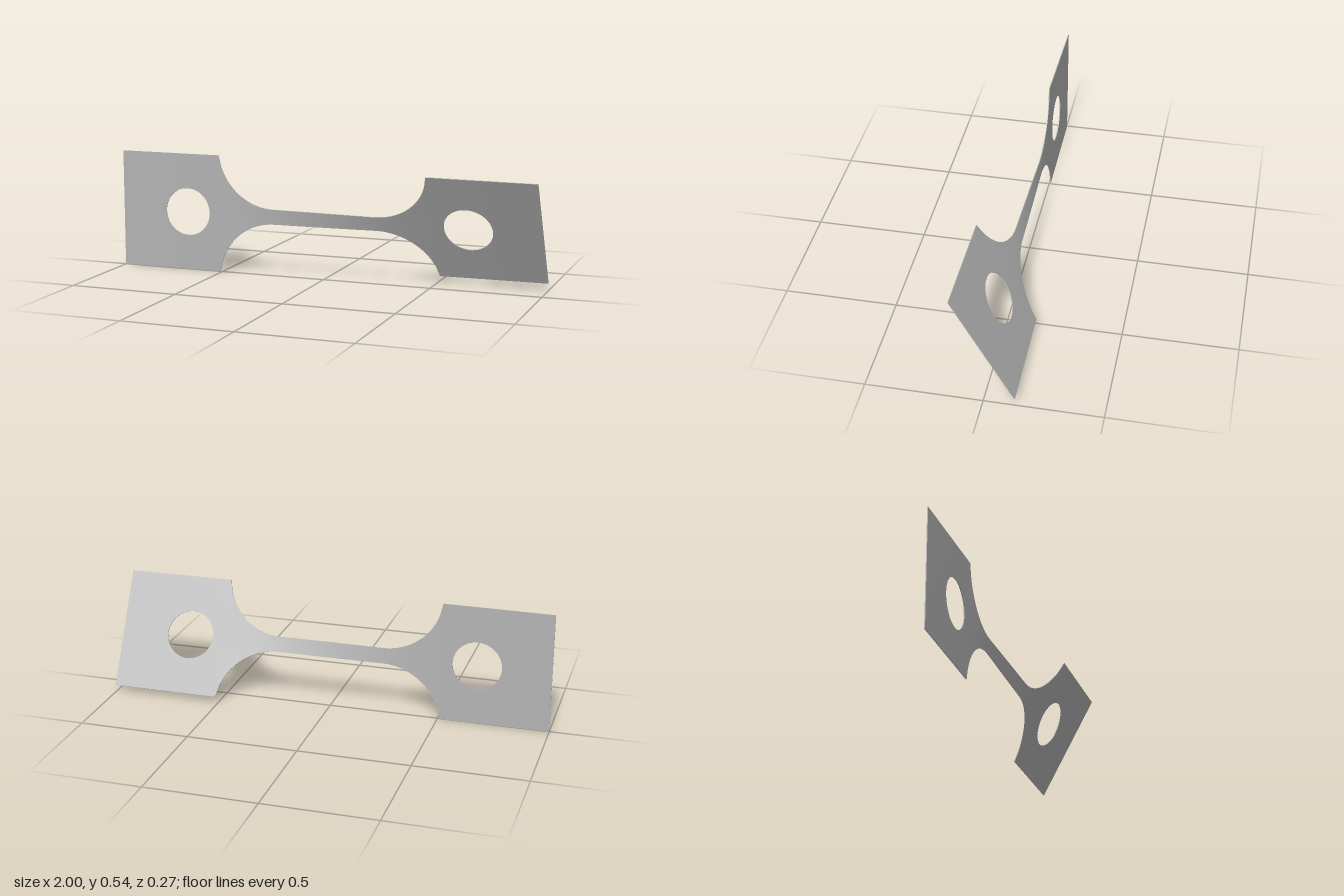
import * as THREE from 'three';
import { mergeGeometries } from 'three/addons/utils/BufferGeometryUtils.js';

const LENGTH = 1, TAB = 0.51, HALF_TAB = 0.2715, HALF_NECK = 0.035;
const FILLET = 0.27, FILLET_X = 0.242, HOLE_X = 0.67, HOLE_R = 0.11;
const HALF_THICK = 0.002, TWIST = THREE.MathUtils.degToRad(28.8);

// Half width of the flat strip at x: neck, round fillet, tab
function halfWidth(x) {
  const a = Math.abs(x);
  if (a >= TAB) return HALF_TAB;
  if (a <= FILLET_X) return HALF_NECK;
  const d = a - FILLET_X;
  return Math.min(HALF_TAB, HALF_NECK + FILLET - Math.sqrt(FILLET * FILLET - d * d));
}

// Half opening of the round hole at x
function halfHole(x) {
  const d = Math.abs(x) - HOLE_X;
  return Math.sqrt(Math.max(0, HOLE_R * HOLE_R - d * d));
}

// Twist angle along x: narrow sections twist most
const STEPS = 800;
const twist = [0];
for (let i = 0; i < STEPS; i++) {
  const x = -1 + (2 * (i + 0.5)) / STEPS;
  twist.push(twist[i] + (Math.abs(x) > TAB ? 0.5 : 1) / halfWidth(x));
}
function angleAt(x) {
  const f = ((x + 1) / 2) * STEPS;
  const i = Math.min(STEPS - 1, Math.max(0, Math.floor(f)));
  return (TWIST * THREE.MathUtils.lerp(twist[i], twist[i + 1], f - i)) / twist[STEPS];
}

// Grid of points from at(u, v) -> [x, y, z] on the flat strip, then twisted
function patch(us, nv, at, flip) {
  const pos = [], index = [];
  for (const u of us) {
    for (let j = 0; j <= nv; j++) {
      const [x, y, z] = at(u, j / nv);
      const c = Math.cos(angleAt(x)), s = Math.sin(angleAt(x));
      pos.push(x, HALF_TAB + y * c - z * s, y * s + z * c);
    }
  }
  for (let i = 0; i < us.length - 1; i++) {
    for (let j = 0; j < nv; j++) {
      const a = i * (nv + 1) + j, b = a + nv + 1;
      if (flip) index.push(a, b + 1, b, a, a + 1, b + 1);
      else index.push(a, b, b + 1, a, b + 1, a + 1);
    }
  }
  const g = new THREE.BufferGeometry();
  g.setAttribute('position', new THREE.Float32BufferAttribute(pos, 3));
  g.setIndex(index);
  g.computeVertexNormals();
  return g;
}

const range = (a, b, n) => Array.from({ length: n + 1 }, (_, i) => a + ((b - a) * i) / n);

// Faces and edges of one stretch of the strip, upper and lower half
function stripParts(xs, hole) {
  const t = HALF_THICK, parts = [];
  const inner = (x) => (hole ? halfHole(x) : 0);
  for (const s of [1, -1]) {
    const y = (x, v) => s * THREE.MathUtils.lerp(inner(x), halfWidth(x), v);
    parts.push(
      patch(xs, 6, (x, v) => [x, y(x, v), t], s < 0),
      patch(xs, 6, (x, v) => [x, y(x, v), -t], s > 0),
      patch(xs, 1, (x, v) => [x, s * halfWidth(x), t - 2 * t * v], s < 0),
    );
    if (hole) {
      const bore = xs.filter((x) => Math.abs(Math.abs(x) - HOLE_X) <= HOLE_R + 1e-6);
      parts.push(patch(bore, 1, (x, v) => [x, s * halfHole(x), t - 2 * t * v], s > 0));
    }
  }
  return parts;
}

// Tab with hole; side is +1 for left, -1 for right
function tabGeometry(side) {
  const xs = [
    ...range(TAB, HOLE_X - HOLE_R, 4).slice(0, -1),
    ...range(Math.PI, 0, 32).map((a) => HOLE_X + HOLE_R * Math.cos(a)),
    ...range(HOLE_X + HOLE_R, LENGTH, 8).slice(1),
  ].map((x) => x * side).sort((a, b) => a - b);
  const end = patch(range(-HALF_TAB, HALF_TAB, 8), 1,
    (y, v) => [side * LENGTH, y, HALF_THICK * (2 * v - 1)], side < 0);
  return mergeGeometries([...stripParts(xs, true), end]);
}

export function createModel() {
  const group = new THREE.Group();
  group.name = 'twistedTestStrip';
  const steel = new THREE.MeshStandardMaterial({ color: 0xb3b3b3 });
  steel.name = 'plainSteel';

  const add = (name, geometry) => {
    const mesh = new THREE.Mesh(geometry, steel);
    mesh.name = name;
    group.add(mesh);
  };
  add('leftTab', tabGeometry(1));
  add('rightTab', tabGeometry(-1));
  add('twistedNeck', mergeGeometries(stripParts(range(-TAB, TAB, 102), false)));
  return group;
}
